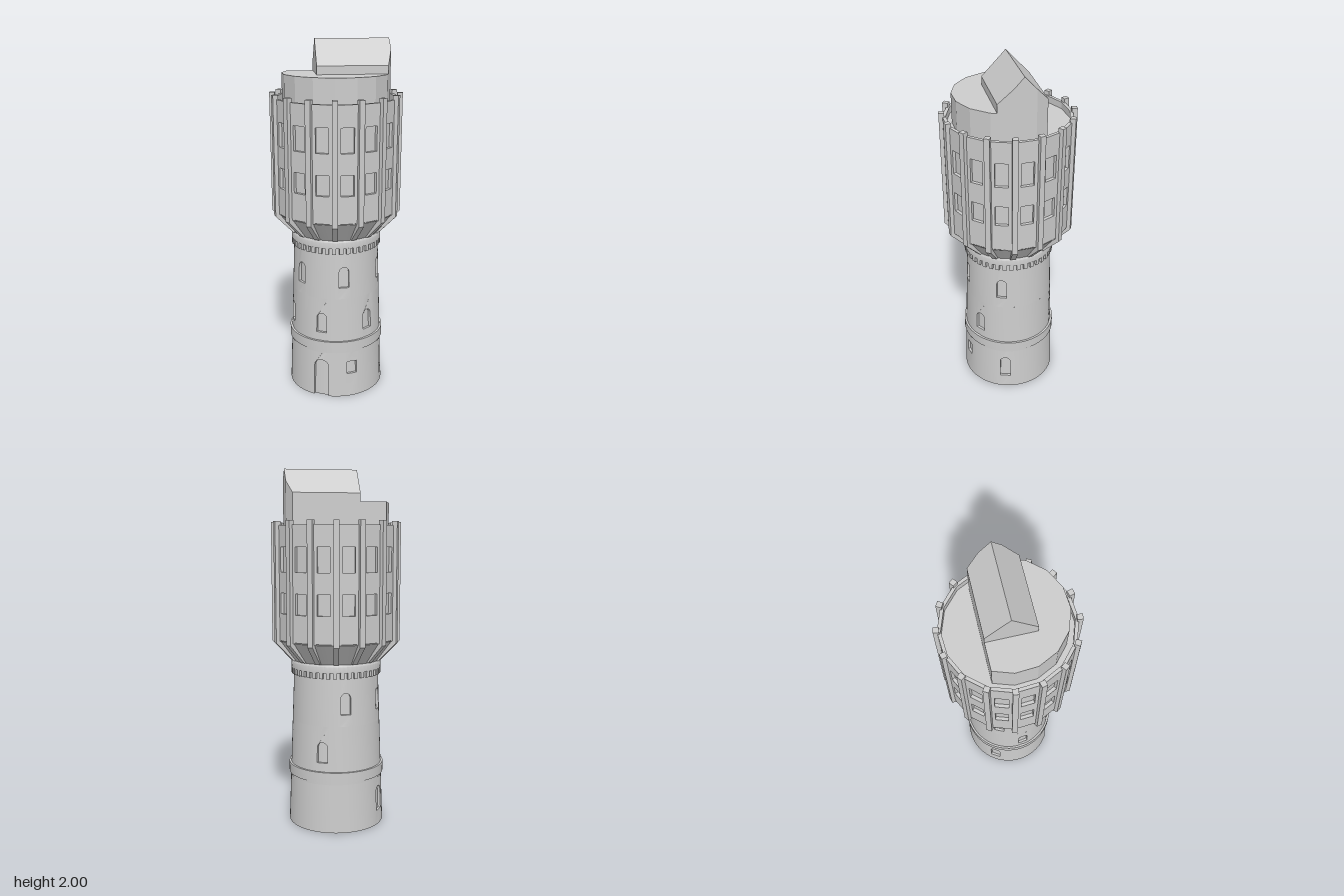
import * as THREE from 'three';
import { mergeGeometries, toCreasedNormals } from 'three/addons/utils/BufferGeometryUtils.js';
import { ConvexGeometry } from 'three/addons/geometries/ConvexGeometry.js';

const rad = THREE.MathUtils.degToRad;
const V2 = (x, y) => new THREE.Vector2(x, y);
const SIDES = 16, PHASE = 15, STEP = 360 / SIDES; // plan of the upper storeys, degrees from +z
const RECESS = 0.015;
const shaftR = y => 0.273 - 0.0367 * y; // gentle taper of the round shaft

// Window outline, counter-clockwise from bottom left
function opening(w, y0, y1, arched) {
  const h = w / 2;
  if (!arched) return [V2(-h, y0), V2(h, y0), V2(h, y1), V2(-h, y1)];
  const pts = [V2(-h, y0), V2(h, y0)];
  for (let i = 0; i <= 8; i++) {
    const t = Math.PI * i / 8;
    pts.push(V2(h * Math.cos(t), y1 - h + h * Math.sin(t)));
  }
  return pts;
}

// Wall piece with one opening, bent round the shaft
function bentPanel(win, y0, y1) {
  const p = win.w / 2 + 0.01, hole = opening(win.w, win.y0, win.y1, win.arched);
  const row = y => [-1, -0.5, 0, 0.5, 1].map(t => V2(t * p, y));
  let shape;
  if (win.y0 <= y0) { // door: notch reaching the ground
    const notch = [hole[0], ...hole.slice(2).reverse(), hole[1]];
    shape = new THREE.Shape([V2(-p, y0), ...notch, V2(p, y0), ...row(y1).reverse()]);
  } else {
    shape = new THREE.Shape([...row(y0), ...row(y1).reverse()]);
    shape.holes.push(new THREE.Path(hole));
  }
  const g = new THREE.ExtrudeGeometry(shape, { depth: RECESS, bevelEnabled: false });
  const pos = g.attributes.position;
  for (let i = 0; i < pos.count; i++) {
    const a = rad(win.a) + pos.getX(i) / 0.25, y = pos.getY(i);
    const r = shaftR(y) - RECESS + pos.getZ(i);
    pos.setXYZ(i, r * Math.sin(a), y, r * Math.cos(a));
  }
  return g;
}

// One tier of the shaft: bent window panels joined by plain curved wall
function tier(wins, y0, y1) {
  wins.sort((a, b) => a.a - b.a);
  const half = w => (w.w / 2 + 0.01) / 0.25;
  const profile = [V2(shaftR(y0) - RECESS, y0), V2(shaftR(y0), y0), V2(shaftR(y1), y1)];
  const parts = [];
  wins.forEach((w, i) => {
    parts.push(bentPanel(w, y0, y1));
    const next = wins[(i + 1) % wins.length];
    const start = rad(w.a) + half(w);
    const end = rad(next.a) - half(next) + (i === wins.length - 1 ? Math.PI * 2 : 0);
    parts.push(new THREE.LatheGeometry(profile, Math.ceil((end - start) / 0.1), start, end - start).toNonIndexed());
  });
  return toCreasedNormals(mergeGeometries(parts), 0.6);
}

export function createModel() {
  const group = new THREE.Group();
  const stone = new THREE.MeshStandardMaterial({ color: 0xcccccc });
  stone.name = 'paleStone';
  const add = (name, geo, parent = group) => {
    const m = new THREE.Mesh(geo, stone);
    m.name = name;
    parent.add(m);
    return m;
  };
  const lathe = (name, pts) =>
    add(name, toCreasedNormals(new THREE.LatheGeometry(pts.map(p => V2(...p)), 64), 0.5));

  // Round shaft with recessed openings
  const arch = (a, y0, y1, w = 0.058) => ({ a, y0, y1, w, arched: true });
  add('lowerShaft', tier([
    arch(-25, 0, 0.225, 0.08), arch(73, 0.08, 0.22), arch(-122, 0.08, 0.22),
    { a: 13.4, y0: 0.14, y1: 0.215, w: 0.055, arched: false },
  ], 0, 0.3));
  add('middleShaft', tier([37, -25, -82, 155].map(a => arch(a, 0.395, 0.51)), 0.3, 0.6));
  add('upperShaft', tier([68, 4, -58, -116, -175].map(a => arch(a, 0.665, 0.785)), 0.6, 0.92));
  lathe('shaftCore', [[0, 0], [shaftR(0) - RECESS, 0], [shaftR(0.92) - RECESS, 0.92]]);

  // Stringcourse
  lathe('stringcourse', [[0.25, 0.274], [0.266, 0.274], [0.266, 0.285], [0.272, 0.287],
    [0.272, 0.345], [0.25, 0.345]]);

  // Collar with dentils
  lathe('collar', [[0.235, 0.898], [0.255, 0.898], [0.255, 0.932], [0.248, 0.945]]);
  const dentils = new THREE.Group();
  dentils.name = 'dentils';
  group.add(dentils);
  for (let i = 0; i < 40; i++) {
    add('dentil', new THREE.BoxGeometry(0.021, 0.035, 0.025)
      .translate(0, 0.8825, 0.2425).rotateY(rad(i * 9)), dentils);
  }

  // Flared underside
  lathe('flare', [[0.248, 0.942], [0.342, 1.066]]);

  // Sixteen-sided storeys: inner core, window panels, and ribs on the corners
  add('storeyCore', new THREE.CylinderGeometry(0.327, 0.327, 0.595, SIDES, 1, false, rad(PHASE))
    .translate(0, 1.3575, 0).toNonIndexed()).geometry.computeVertexNormals();
  const R = 0.345, hw = R * Math.sin(rad(STEP / 2)), apothem = R * Math.cos(rad(STEP / 2));
  const wall = new THREE.Shape([V2(-hw, 1.06), V2(hw, 1.06), V2(hw, 1.692), V2(-hw, 1.692)]);
  for (const [y0, y1] of [[1.215, 1.328], [1.442, 1.575]]) {
    wall.holes.push(new THREE.Path(opening(0.07, y0, y1, false)));
  }
  const wallGeo = new THREE.ExtrudeGeometry(wall, { depth: 0.018, bevelEnabled: false })
    .translate(0, 0, apothem - 0.018);
  const rib = new THREE.Shape([V2(0.333, 1.715), V2(0.333, 1.06), V2(0.235, 0.945),
    V2(0.262, 0.945), V2(0.363, 1.05), V2(0.363, 1.715)]);
  const ribGeo = new THREE.ExtrudeGeometry(rib, { depth: 0.03, bevelEnabled: false })
    .translate(0, 0, -0.015);
  for (let i = 0; i < SIDES; i++) {
    const corner = PHASE + i * STEP;
    add('windowPanel', wallGeo).rotation.y = rad(corner + STEP / 2);
    add('cornerRib', ribGeo).rotation.y = rad(corner - 90);
  }

  // Roof drum, cut flat at the back
  const cut = -0.14, drumR = 0.295;
  const plan = Array.from({ length: SIDES }, (_, i) => {
    const a = rad(PHASE + i * STEP);
    return V2(drumR * Math.sin(a), drumR * Math.cos(a));
  });
  const edgeX = (z, side) => { // x of the drum outline at depth z
    for (let i = 0; i < SIDES; i++) {
      const p = plan[i], q = plan[(i + 1) % SIDES];
      if ((p.y - z) * (q.y - z) <= 0 && p.x * side > 0 && q.x * side > 0) {
        return p.x + (q.x - p.x) * (z - p.y) / (q.y - p.y);
      }
    }
    return 0;
  };
  const outline = [...plan.filter(p => p.y > cut), V2(edgeX(cut, 1), cut), V2(edgeX(cut, -1), cut)];
  add('roofDrum', new ConvexGeometry(outline.flatMap(p =>
    [1.65, 1.82].map(y => new THREE.Vector3(p.x, y, p.y)))));

  // Gabled roof house, its end following the drum outline
  const ridge = -0.012, front = 0.117;
  const roofY = z => 2 - 0.135 * (z < ridge ? (ridge - z) / (ridge - cut) : (z - ridge) / (front - ridge));
  const corners = plan.filter(p => p.x > 0 && p.y > cut && p.y < front).map(p => p.y);
  add('gabledRoofHouse', new ConvexGeometry([cut, ridge, front, ...corners].flatMap(z =>
    [-0.115, edgeX(z, 1)].flatMap(x =>
      [1.81, roofY(z)].map(y => new THREE.Vector3(x, y, z))))));

  return group;
}
